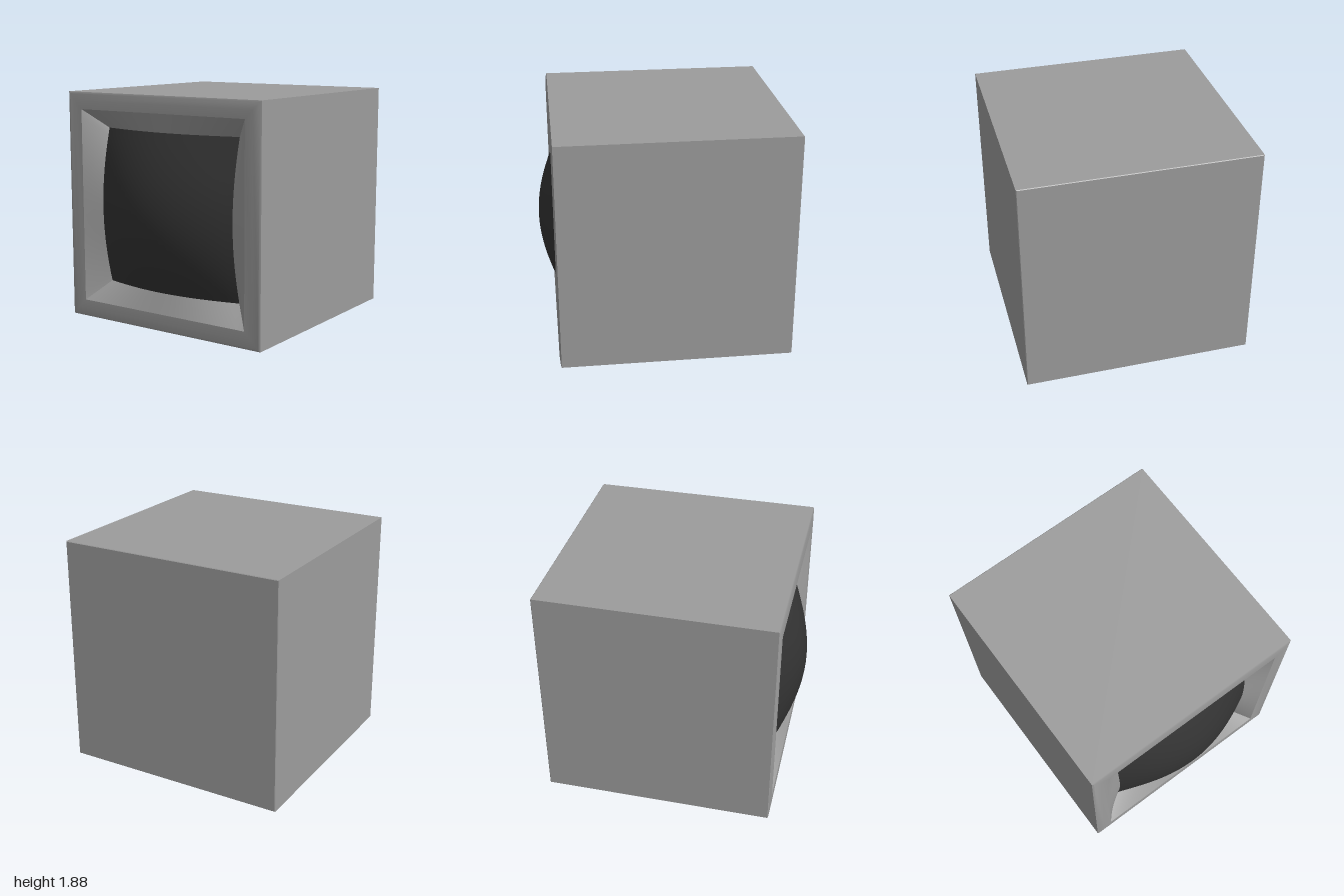
import * as THREE from 'three';
import { mergeGeometries, toCreasedNormals } from 'three/addons/utils/BufferGeometryUtils.js';

const HALF = 0.94;      // half width of the cabinet
const SCREEN = 0.645;   // half width of the screen
const SEG = 24;

// Height of the bulging glass at a point measured from its centre
const glassZ = (x, y) => 0.617 + 0.383 * Math.cos(1.587 * x) * Math.cos(1.587 * y);

// One of four equal sides: rows run from [half width, z] to the next
function sideStrip(rows, segments) {
  const pos = [], index = [];
  for (const [h, z] of rows) {
    for (let i = 0; i <= segments; i++) {
      const x = h * (2 * i / segments - 1);
      pos.push(x, h, typeof z === 'function' ? z(x, h) : z);
    }
  }
  const w = segments + 1;
  for (let j = 0; j < rows.length - 1; j++) {
    for (let i = 0; i < segments; i++) {
      const a = j * w + i, b = a + w;
      index.push(a, b, a + 1, b, b + 1, a + 1);
    }
  }
  const g = new THREE.BufferGeometry();
  g.setAttribute('position', new THREE.Float32BufferAttribute(pos, 3));
  g.setIndex(index);
  return g;
}

// Repeat a side strip around the z axis
function fourSides(rows, segments = SEG) {
  const sides = [0, 1, 2, 3].map(k => sideStrip(rows, segments).rotateZ(k * Math.PI / 2));
  return toCreasedNormals(mergeGeometries(sides), 0.5);
}

export function createModel() {
  const casing = new THREE.MeshStandardMaterial({ color: 0x9c9c9c });
  casing.name = 'casing grey';
  const glass = new THREE.MeshStandardMaterial({ color: 0x333333 });
  glass.name = 'dark glass';

  const model = new THREE.Group();
  model.name = 'monitor';
  const add = (name, geometry, material) => {
    const mesh = new THREE.Mesh(geometry, material);
    mesh.name = name;
    mesh.position.y = HALF;
    model.add(mesh);
    return mesh;
  };

  // Cabinet sides and back, with a fine bevel at the rear edge
  add('cabinetSides', fourSides([[HALF - 0.005, -1], [HALF, -0.995], [HALF, 0.876]], 1), casing);
  const back = new THREE.PlaneGeometry(2 * HALF - 0.01, 2 * HALF - 0.01);
  back.rotateY(Math.PI).translate(0, 0, -1);
  add('cabinetBack', back, casing);

  // Gently rounded front rim
  add('frontRim', fourSides([[HALF, 0.876], [0.925, 0.882], [0.87, 0.889], [0.8, 0.886]], 1), casing);

  // Sloping walls that meet the curved edge of the screen
  add('recessWalls', fourSides([[0.8, 0.886], [SCREEN, glassZ]]), casing);

  // Bulging screen
  const screen = new THREE.PlaneGeometry(2 * SCREEN, 2 * SCREEN, SEG, SEG);
  const p = screen.attributes.position;
  for (let i = 0; i < p.count; i++) p.setZ(i, glassZ(p.getX(i), p.getY(i)));
  screen.computeVertexNormals();
  add('screen', screen, glass);

  return model;
}
